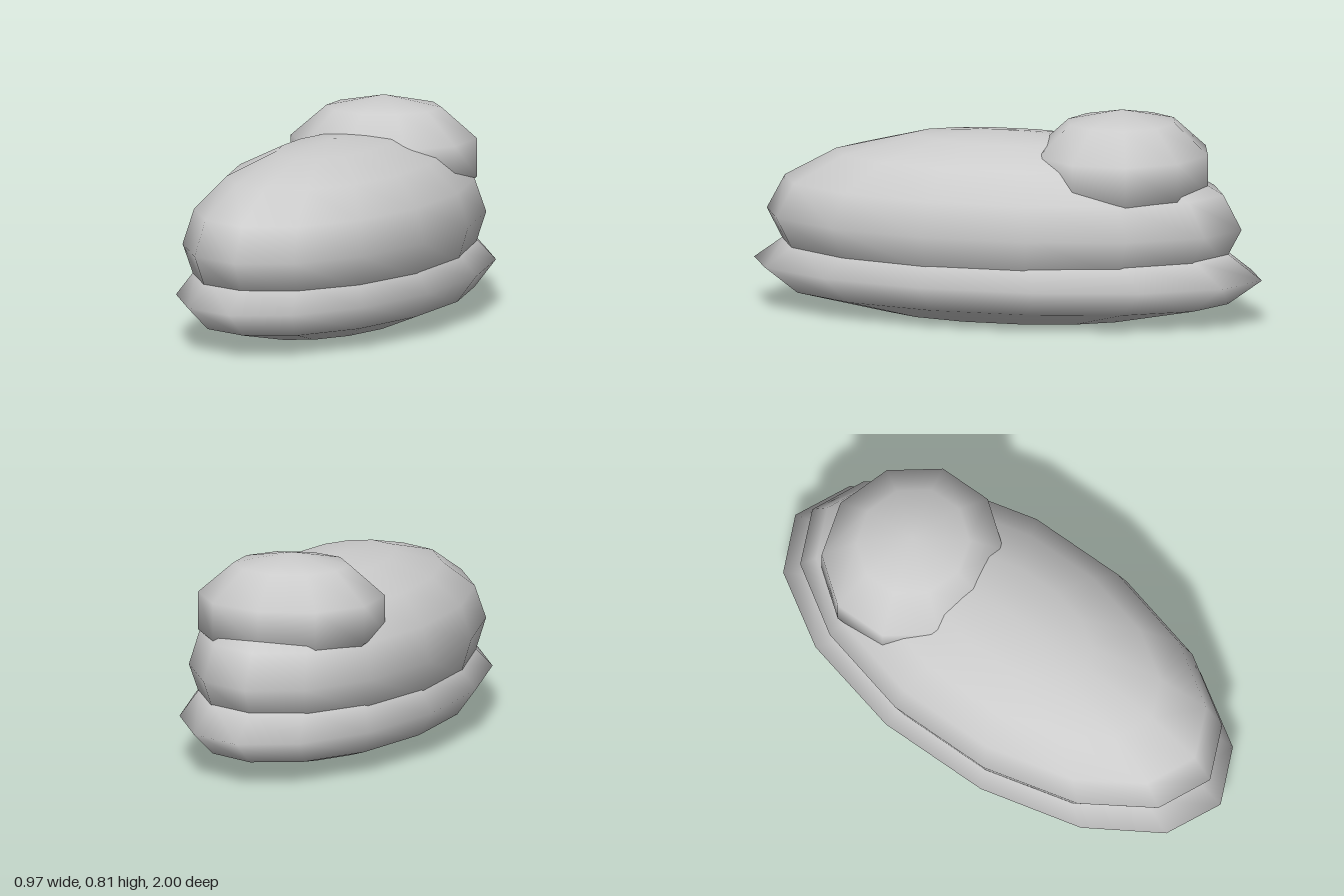
import * as THREE from 'three';

const lightGrey = new THREE.MeshStandardMaterial({ color: 0xcccccc });
lightGrey.name = 'lightGrey';

// Smooth low-poly ellipsoid with a vertex pointing straight forward and back
function ellipsoid(name, sides, rings, radii, y, z) {
  const geometry = new THREE.SphereGeometry(1, sides, rings, Math.PI / 2);
  geometry.scale(...radii);
  geometry.translate(0, y, z);
  const mesh = new THREE.Mesh(geometry, lightGrey);
  mesh.name = name;
  return mesh;
}

export function createModel() {
  const group = new THREE.Group();
  group.name = 'model';

  // Wide base, flattened underneath so that it stands on the ground
  const base = ellipsoid('base', 14, 6, [0.4975, 0.194, 1], 0.168, 0);
  const p = base.geometry.attributes.position;
  for (let i = 0; i < p.count; i++) p.setY(i, Math.max(0, p.getY(i)));

  // Long upper body, set slightly forward
  const body = ellipsoid('upperBody', 14, 8, [0.477, 0.345, 0.935], 0.36, 0.015);

  // Rounded dome at the back
  const dome = ellipsoid('rearDome', 10, 5, [0.378, 0.236, 0.3575], 0.569, -0.448);

  group.add(base, body, dome);
  return group;
}
